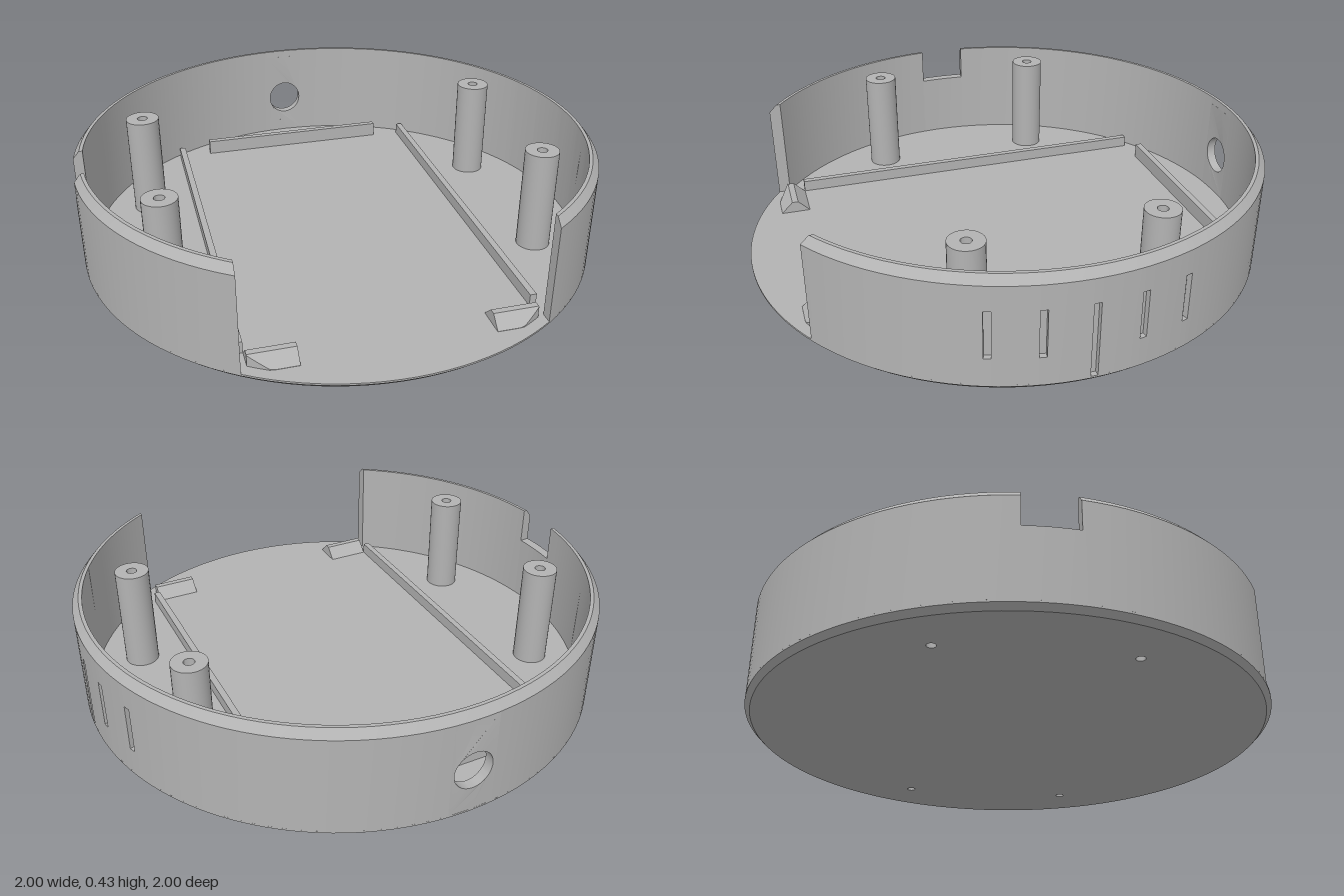
import * as THREE from 'three';
import { toCreasedNormals } from 'three/addons/utils/BufferGeometryUtils.js';

const FLOOR = 0.027, TOP = 0.433, SHOULDER = 0.403;
const R_OUT = 1, R_TOP = 0.975, R_IN = 0.962;
const GAP = 0.54; // half width of the front opening

// Skins a closed counter-clockwise profile along steps; place(a, b, t) sets each point.
function loft(profileAt, steps, place) {
  const pos = [], idx = [];
  const n = profileAt(steps[0]).length;
  for (const t of steps) for (const [a, b] of profileAt(t)) pos.push(...place(a, b, t));
  for (let k = 0; k < steps.length - 1; k++) {
    for (let i = 0; i < n; i++) {
      const j = (i + 1) % n, p = k * n, q = p + n;
      idx.push(p + i, q + i, q + j, p + i, q + j, p + j);
    }
  }
  // End caps
  [0, steps.length - 1].forEach((k, end) => {
    const outline = profileAt(steps[k]).map(([a, b]) => new THREE.Vector2(a, b));
    for (const [a, b, c] of THREE.ShapeUtils.triangulateShape(outline, [])) {
      const o = k * n;
      idx.push(o + a, ...(end ? [o + c, o + b] : [o + b, o + c]));
    }
  });
  const g = new THREE.BufferGeometry();
  g.setAttribute('position', new THREE.Float32BufferAttribute(pos, 3));
  g.setIndex(idx);
  return toCreasedNormals(g, 0.4);
}

function range(a, b, count) {
  return Array.from({ length: count + 1 }, (_, i) => a + (b - a) * i / count);
}

// Point on the round wall; the front opening is cut parallel to z.
function onWall(r, y, angle) {
  let x = r * Math.sin(angle), z = r * Math.cos(angle);
  if (z > 0 && Math.abs(x) < GAP) {
    x = Math.sign(x) * GAP;
    z = Math.sqrt(r * r - x * x);
  }
  return [x, y, z];
}

function lathe(points, segments) {
  return toCreasedNormals(
    new THREE.LatheGeometry(points.map(([r, y]) => new THREE.Vector2(r, y)), segments), 0.4);
}

export function createModel() {
  const model = new THREE.Group();
  model.name = 'roundEnclosure';
  const grey = new THREE.MeshStandardMaterial({ color: 0xb3b3b3 });
  grey.name = 'grey';

  function add(name, geometry, parent = model) {
    const mesh = new THREE.Mesh(geometry, grey);
    mesh.name = name;
    parent.add(mesh);
    return mesh;
  }
  function box(name, x0, x1, y0, y1, z0, z1) {
    const g = new THREE.BoxGeometry(x1 - x0, y1 - y0, z1 - z0);
    g.translate((x0 + x1) / 2, (y0 + y1) / 2, (z0 + z1) / 2);
    add(name, g);
  }

  // Floor plate with chamfered lower edge and four screw holes
  const posts = [];
  for (const x of [-0.715, 0.715]) for (const z of [-0.345, 0.34]) posts.push([x, z]);
  add('floor', lathe([[0.98, 0], [1, 0.02], [1, FLOOR], [0, FLOOR]], 120));
  const under = new THREE.Shape().absarc(0, 0, 0.98, 0, Math.PI * 2);
  for (const [x, z] of posts) {
    under.holes.push(new THREE.Path().absarc(x, z, 0.017, 0, Math.PI * 2, true));
  }
  add('underside', new THREE.ShapeGeometry(under, 60).rotateX(Math.PI / 2));

  // Screw posts with blind bores at both ends
  for (const [x, z] of posts) {
    const post = new THREE.Group();
    post.name = 'screwPost';
    post.position.set(x, 0, z);
    add('postBody', lathe([[0.065, FLOOR], [0.065, 0.43], [0.02, 0.43], [0.02, 0.2], [0, 0.2]], 32), post);
    add('screwHole', lathe([[0, 0.12], [0.017, 0.12], [0.017, 0]], 24), post);
    model.add(post);
  }

  // Wall, built as sectors around the floor
  const wall = new THREE.Group();
  wall.name = 'wall';
  model.add(wall);
  const rim = [[R_OUT, SHOULDER], [R_TOP, TOP], [R_IN, TOP]];
  const plain = [[R_IN, FLOOR], [R_OUT, FLOOR], ...rim];
  const notched = [[R_IN, FLOOR], [R_OUT, FLOOR], [R_OUT, 0.29], [R_IN, 0.29]];
  const aboveHole = [[R_IN, SHOULDER], ...rim];
  const slot = [[R_IN, FLOOR], [R_OUT, FLOOR], [R_OUT, 0.13], [0.98, 0.13], [0.98, 0.31], [R_OUT, 0.31], ...rim];
  const longSlot = [[R_IN, FLOOR], [0.98, FLOOR], [0.98, 0.31], [R_OUT, 0.31], ...rim];
  function sector(name, profile, a0, a1) {
    const count = Math.max(1, Math.round((a1 - a0) / (Math.PI / 60)));
    add(name, loft(() => profile, range(a0, a1, count), onWall), wall);
  }

  const features = [0.34, 0.17, 0, -0.17, -0.34].map(z => (
    { name: 'ventSlot', at: Math.acos(z), half: 0.0125, profile: z === 0 ? longSlot : slot }));
  features.push({ name: 'rimAboveHole', at: Math.PI, half: 0.084, profile: aboveHole });
  features.push({ name: 'notchedWall', at: Math.PI * 1.5, half: 0.097, profile: notched });
  let from = Math.asin(GAP);
  for (const f of features) {
    sector('wallSection', plain, from, f.at - f.half);
    sector(f.name, f.profile, f.at - f.half, f.at + f.half);
    from = f.at + f.half;
  }
  sector('wallSection', plain, from, Math.PI * 2 - Math.asin(GAP));

  // Back panel with a round cable hole, bent onto the wall
  const w = 0.084;
  const panel = new THREE.Shape([[-w, FLOOR], [0, FLOOR], [w, FLOOR], [w, SHOULDER], [0, SHOULDER], [-w, SHOULDER]]
    .map(([u, y]) => new THREE.Vector2(u, y)));
  panel.holes.push(new THREE.Path().absarc(0, 0.195, 0.074, 0, Math.PI * 2, true));
  const holed = new THREE.ExtrudeGeometry(panel, { depth: R_OUT - R_IN, bevelEnabled: false, curveSegments: 24 });
  const p = holed.attributes.position;
  for (let i = 0; i < p.count; i++) {
    p.setXYZ(i, ...onWall(R_IN + p.getZ(i), p.getY(i), Math.PI + p.getX(i)));
  }
  add('cableHolePanel', toCreasedNormals(holed, 0.4), wall);

  // Locating rails on the floor
  box('sideRail', -0.54, -0.515, FLOOR, 0.072, -0.775, 0.735);
  box('sideRail', 0.515, 0.54, FLOOR, 0.072, -0.775, 0.735);
  box('backRail', -0.4, 0.4, FLOOR, 0.087, -0.802, -0.777);

  // Ramped front stops, trimmed to the inner wall radius
  const stopProfile = x => {
    const z = Math.min(0.849, Math.sqrt(0.957 ** 2 - x * x));
    return [[0.735, FLOOR], [z, FLOOR], [z, 0.072 - (z - 0.805)], [0.804, 0.072], [0.78, 0.072]];
  };
  for (const [x0, x1] of [[-0.515, -0.345], [0.345, 0.515]]) {
    add('frontStop', loft(stopProfile, range(x0, x1, 10), (z, y, x) => [x, y, z]));
  }
  return model;
}
